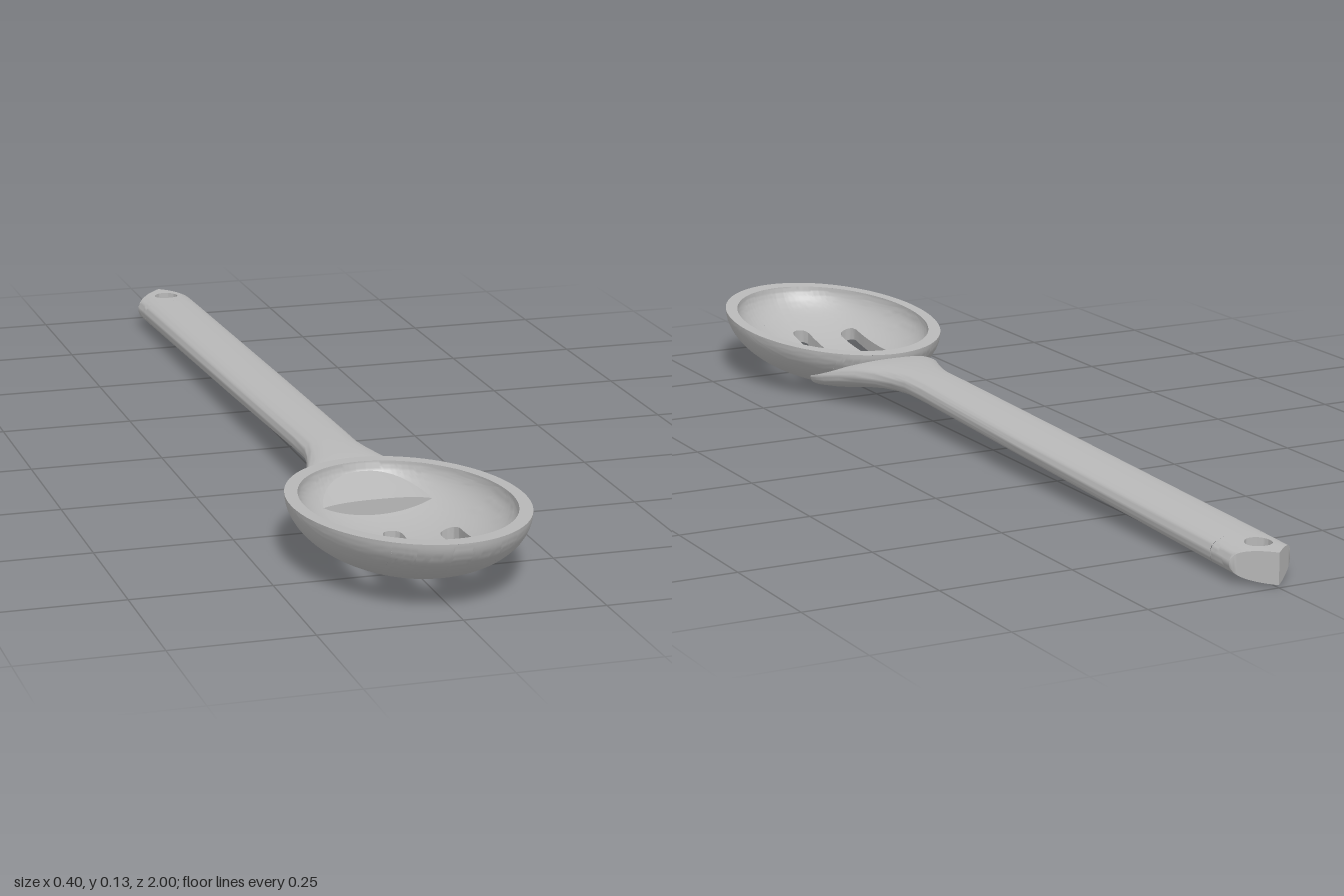
import * as THREE from 'three';
import { mergeGeometries, toCreasedNormals } from 'three/addons/utils/BufferGeometryUtils.js';

// Quad grid over i, j in 0..1; flip reverses the facing side
function grid(nu, nv, f, flip = false) {
  const pos = [];
  for (let i = 0; i < nu; i++) for (let j = 0; j < nv; j++) {
    const a = f(i / nu, j / nv), b = f((i + 1) / nu, j / nv);
    const c = f((i + 1) / nu, (j + 1) / nv), d = f(i / nu, (j + 1) / nv);
    const quad = flip ? [a, c, b, a, d, c] : [a, b, c, a, c, d];
    for (const p of quad) pos.push(...p);
  }
  const g = new THREE.BufferGeometry();
  g.setAttribute('position', new THREE.Float32BufferAttribute(pos, 3));
  return g;
}

const lerp = THREE.MathUtils.lerp;
const HALF = Math.PI / 2, TAU = Math.PI * 2;

// Bowl: half ellipsoid with a tilted rim
const RX = 0.2, RZ = 0.295, CZ = 0.705, RIM = 0.117, TILT = 0.05;
function bowlPoint(u, v, inner) {
  const r = Math.min(1, Math.hypot(u, v));
  const k = inner ? 1 - 0.11 * r ** 4 : 1;
  const rho = inner ? Math.min(1, r * k / 0.89) : r;
  const z = RZ * v * k;
  const depth = (inner ? 0.09 : 0.116) * Math.sqrt(Math.max(0, 1 - rho * rho));
  return [RX * u * k, RIM + TILT * z - depth, CZ + z];
}

const SLOT_W = 0.0175; // half width
const SLOTS = [[-0.09, 0.655, 0.83], [0, 0.61, 0.875], [0.09, 0.655, 0.83]];

function bowlGeometry() {
  const parts = [];
  // One band of bowl between x0 and x1, bounded by two angle functions of x
  const patch = (x0, x1, lo, hi, nu, nv) => {
    const p0 = Math.asin(x0 / RX), p1 = Math.asin(x1 / RX);
    for (const inner of [false, true]) parts.push(grid(nu, nv, (i, j) => {
      const phi = lerp(p0, p1, i);
      const th = lerp(lo(RX * Math.sin(phi)), hi(RX * Math.sin(phi)), j);
      return bowlPoint(Math.sin(phi), Math.cos(phi) * Math.sin(th), inner);
    }, inner));
  };
  const back = () => -HALF, front = () => HALF;
  const angleAt = (x, z) => Math.asin((z - CZ) / RZ / Math.sqrt(1 - (x / RX) ** 2));
  let x = -RX;
  for (const [c, z0, z1] of SLOTS) {
    const bulge = px => Math.sqrt(Math.max(0, SLOT_W ** 2 - (px - c) ** 2));
    patch(x, c - SLOT_W, back, front, 12, 48);
    patch(c - SLOT_W, c + SLOT_W, back, px => angleAt(px, z0 + SLOT_W - bulge(px)), 12, 20);
    patch(c - SLOT_W, c + SLOT_W, px => angleAt(px, z1 - SLOT_W + bulge(px)), front, 12, 20);
    x = c + SLOT_W;
    // Slot wall, following a stadium outline
    const half = (z1 - z0) / 2 - SLOT_W, n = 24, loop = [];
    for (let q = 0; q <= n; q++) {
      const a = q / n * Math.PI;
      loop.push([c + SLOT_W * Math.cos(a), (z0 + z1) / 2 + half + SLOT_W * Math.sin(a)]);
    }
    for (let q = 1; q < 8; q++) loop.push([c - SLOT_W, lerp(z1 - SLOT_W, z0 + SLOT_W, q / 8)]);
    for (let q = 0; q <= n; q++) {
      const a = Math.PI + q / n * Math.PI;
      loop.push([c + SLOT_W * Math.cos(a), (z0 + z1) / 2 - half + SLOT_W * Math.sin(a)]);
    }
    for (let q = 1; q < 8; q++) loop.push([c + SLOT_W, lerp(z0 + SLOT_W, z1 - SLOT_W, q / 8)]);
    parts.push(grid(loop.length, 1, (i, j) => {
      const [px, pz] = loop[Math.round(i * loop.length) % loop.length];
      return bowlPoint(px / RX, (pz - CZ) / RZ, j > 0.5);
    }));
  }
  patch(x, RX, back, front, 12, 48);
  // Flat rim
  parts.push(grid(96, 1, (i, j) => bowlPoint(Math.cos(i * TAU), Math.sin(i * TAU), j > 0.5), true));
  return toCreasedNormals(mergeGeometries(parts), 0.6);
}

// Handle cross-section: a slightly squared ellipse
const N = 2.5;
const power = (v, e) => Math.sign(v) * Math.abs(v) ** e;

// Rows of z, half width, top, bottom
const SECTIONS = [
  [-0.88, 0.06, 0.065, 0.009], [-0.2, 0.058, 0.083, 0.034], [0.2, 0.053, 0.096, 0.047],
  [0.27, 0.053, 0.097, 0.048], [0.31, 0.06, 0.097, 0.047], [0.36, 0.075, 0.096, 0.044],
  [0.41, 0.094, 0.094, 0.037], [0.45, 0.108, 0.087, 0.029], [0.5, 0.119, 0.075, 0.02],
  [0.545, 0.125, 0.066, 0.014],
];

function handleGeometry() {
  const last = SECTIONS.length - 1;
  const ring = (row, a, s = 1) => {
    const [z, w, top, bottom] = SECTIONS[row];
    return [s * w * power(Math.cos(a), 2 / N),
      (top + bottom) / 2 + s * (top - bottom) / 2 * power(Math.sin(a), 2 / N), z];
  };
  const body = grid(last, 48, (i, j) => ring(Math.round(i * last), j * TAU), true);
  const cap = grid(48, 1, (i, j) => ring(last, i * TAU, 1 - j));
  return toCreasedNormals(mergeGeometries([body, cap]), 0.7);
}

// Pointed handle end with a hanging hole, swept around the hole
function tipGeometry() {
  const HZ = -0.935, HR = 0.024, W = 0.06, steps = 10;
  const angles = [[W, -0.88], [-W, -0.88], [W, -0.94], [-W, -0.94], [0, -1]]
    .map(([x, z]) => (Math.atan2(z - HZ, x) + TAU) % TAU);
  for (let k = 0; k < 64; k++) angles.push(k / 64 * TAU);
  angles.sort((a, b) => a - b);
  const reach = a => {
    const c = Math.abs(Math.cos(a)), s = Math.sin(a);
    return Math.min(W / Math.max(c, 1e-6), s > 1e-6 ? 0.055 / s : 9, c - s > 1e-6 ? 0.065 / (c - s) : 9);
  };
  const count = angles.length, rows = 2 * steps + 2;
  return toCreasedNormals(grid(count, rows, (i, j) => {
    const a = angles[Math.round(i * count) % count];
    const k = Math.round(j * rows) % rows;
    const top = k > steps;
    const t = Math.sin((top ? rows - 1 - k : k) / steps * HALF);
    const d = lerp(HR, reach(a), t);
    const x = d * Math.cos(a), z = HZ + d * Math.sin(a);
    const h = 0.028 * Math.max(0, 1 - Math.abs(x / W) ** N) ** (1 / N);
    return [x, 0.037 + (z + 0.88) * 0.032 + (top ? h : -h), z];
  }, true), 0.7);
}

export function createModel() {
  const group = new THREE.Group();
  const grey = new THREE.MeshStandardMaterial({ color: 0xb8b8b8 });
  grey.name = 'light grey';
  const add = (name, geometry) => {
    const mesh = new THREE.Mesh(geometry, grey);
    mesh.name = name;
    group.add(mesh);
    return mesh;
  };
  add('slottedBowl', bowlGeometry());
  add('handle', handleGeometry());
  add('handleTip', tipGeometry());
  // Small web across the middle slot
  add('slotBridge', new THREE.BoxGeometry(0.036, 0.016, 0.06)).position.set(0, 0.01, 0.67);
  return group;
}
